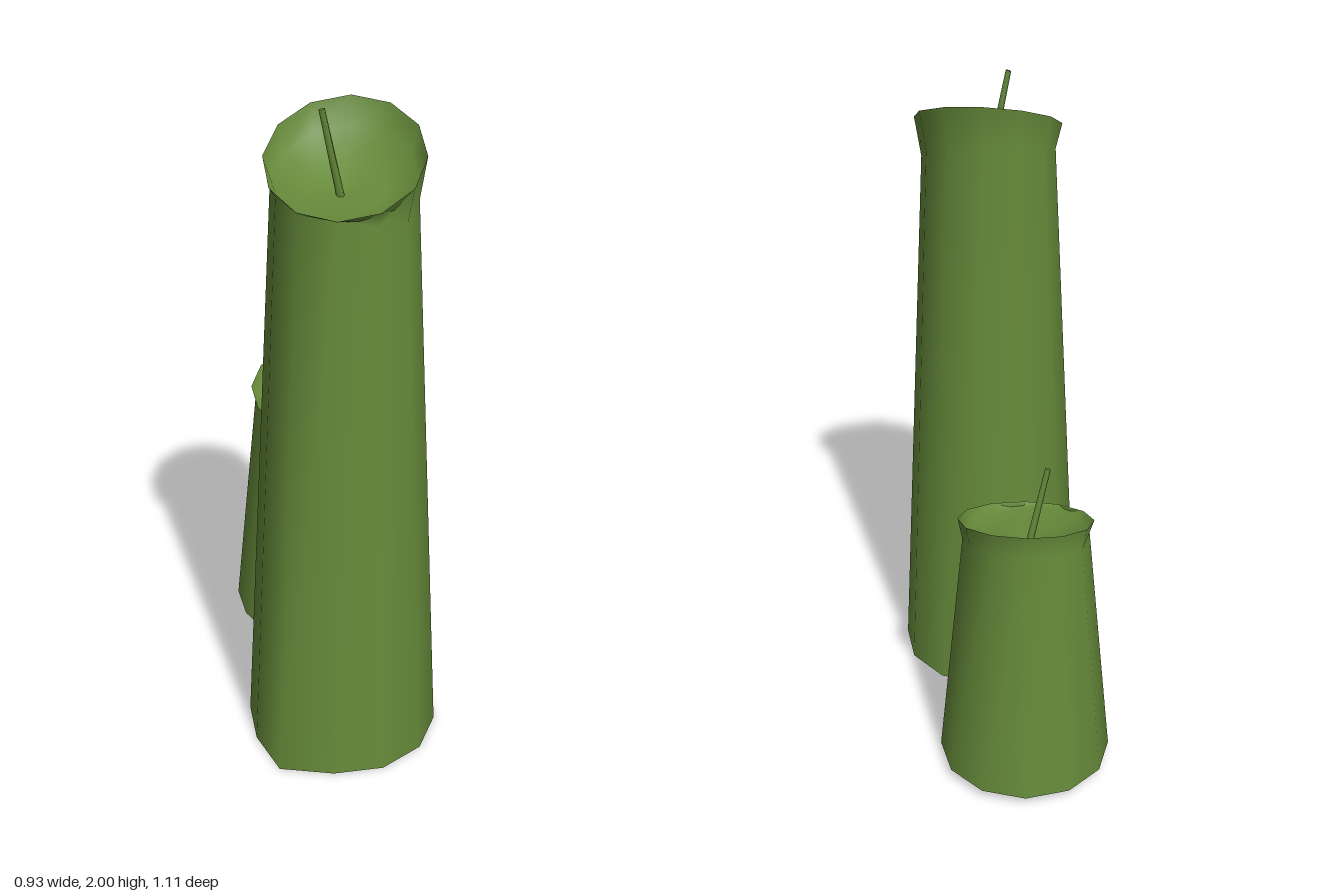
import * as THREE from 'three';

const SIDES = 12;
const green = new THREE.MeshStandardMaterial({ color: 0x668a3a, side: THREE.DoubleSide });

// Smooth skin through closed rings of SIDES points, listed so that faces look outward going up.
function loft(rings) {
  const pos = rings.flat().flatMap((p) => [p.x, p.y, p.z]);
  const index = [];
  for (let r = 0; r < rings.length - 1; r++) {
    for (let i = 0; i < SIDES; i++) {
      const j = (i + 1) % SIDES;
      const a = r * SIDES + i, b = r * SIDES + j;
      index.push(a, a + SIDES, b, b, a + SIDES, b + SIDES);
    }
  }
  const geo = new THREE.BufferGeometry();
  geo.setAttribute('position', new THREE.Float32BufferAttribute(pos, 3));
  geo.setIndex(index);
  geo.computeVertexNormals();
  return geo;
}

function part(name, geo) {
  const mesh = new THREE.Mesh(geo, green);
  mesh.name = name;
  return mesh;
}

function makeCandle(c) {
  const candle = new THREE.Group();
  candle.name = c.name;

  // Ring around the candle's axis; the first point is the front ridge.
  const ring = (radius, ridge, height) =>
    Array.from({ length: SIDES }, (_, i) => {
      const a = c.startAngle + (i / SIDES) * Math.PI * 2;
      const r = i === 0 ? ridge : radius;
      const x = r * Math.cos(a), z = r * Math.sin(a);
      return new THREE.Vector3(c.x + x, height(x, z), c.z + z);
    });

  // Slanted rim, with a flare that fades out towards the front
  const rimY = (x, z) => c.rimY + c.slopeX * x + c.slopeZ * z;
  const fade = (z) => Math.min(1, Math.max(0.06, (c.rimR - z) / c.rimR));
  const base = ring(c.baseR, c.ridgeR, () => c.baseY);
  const neck = ring(c.neckR, c.rimR * 0.99, (x, z) => rimY(x, z) - c.flare * fade(z));
  const rim = ring(c.rimR, c.rimR, rimY);
  candle.add(part('waxWall', loft([base, neck, rim])));

  // Hollow at the top, sinking to the foot of the wick
  const lip = ring(c.rimR * 0.9, c.rimR * 0.96, (x, z) => rimY(x, z) - c.flare * 0.5 * fade(z) - 0.01);
  const mid = ring(c.rimR * 0.5, c.rimR * 0.5, (x, z) => c.floorY + 0.015 + (rimY(x, z) - c.rimY) * 0.5);
  const centre = ring(0, 0, () => c.floorY);
  candle.add(part('meltedHollow', loft([rim, lip, mid, centre])));

  // Leaning wick
  const foot = new THREE.Vector3(...c.wick[0]), tip = new THREE.Vector3(...c.wick[1]);
  const dir = tip.clone().sub(foot);
  const wick = part('wick', new THREE.CylinderGeometry(0.009, 0.012, dir.length(), 5));
  wick.position.copy(foot).add(tip).multiplyScalar(0.5);
  wick.quaternion.setFromUnitVectors(new THREE.Vector3(0, 1, 0), dir.normalize());
  candle.add(wick);
  return candle;
}

export function createModel() {
  const model = new THREE.Group();
  model.name = 'candles';
  model.add(
    makeCandle({
      name: 'tallCandle', x: 0.173, z: 0.225, startAngle: THREE.MathUtils.degToRad(98),
      baseY: 0, baseR: 0.295, ridgeR: 0.333, neckR: 0.203, rimR: 0.222,
      rimY: 1.86, slopeX: -0.15, slopeZ: -0.44, flare: 0.12, floorY: 1.76,
      wick: [[0.175, 1.75, 0.25], [0.135, 1.999, 0.285]],
    }),
    makeCandle({
      name: 'shortCandle', x: -0.2025, z: -0.295, startAngle: THREE.MathUtils.degToRad(94),
      baseY: 0.03, baseR: 0.264, ridgeR: 0.295, neckR: 0.187, rimR: 0.2,
      rimY: 0.853, slopeX: -0.11, slopeZ: -0.27, flare: 0.07, floorY: 0.785,
      wick: [[-0.218, 0.775, -0.312], [-0.255, 1.018, -0.262]],
    }),
  );
  return model;
}
